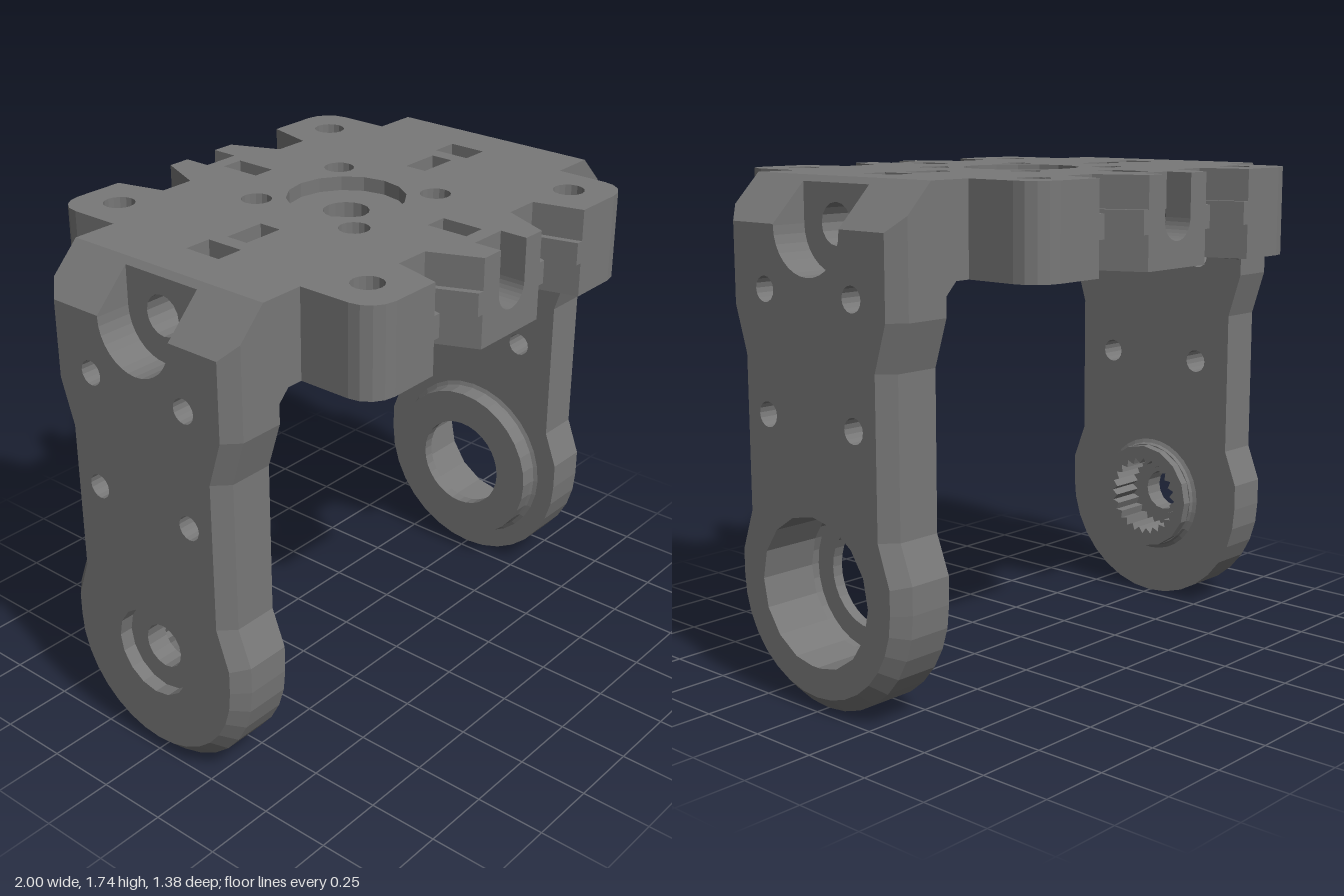
import * as THREE from 'three';

const TOP = 1.74, BASE = 1.43, AXIS = 0.405, SCREW_Y = 1.59;

export function createModel() {
  const grey = new THREE.MeshStandardMaterial({ color: 0x787878 });
  const model = new THREE.Group();

  const add = (parent, geometry, name) => {
    const mesh = new THREE.Mesh(geometry, grey);
    mesh.name = name;
    parent.add(mesh);
    return mesh;
  };
  const poly = (pts) => new THREE.Shape(pts.map(([x, y]) => new THREE.Vector2(x, y)));
  const circle = (x, y, r) => new THREE.Path().absarc(x, y, r, 0, Math.PI * 2, false);
  // extrude a profile from depth a to depth b
  const slab = (shape, a, b) =>
    new THREE.ExtrudeGeometry(shape, { depth: b - a, bevelEnabled: false, curveSegments: 8 }).translate(0, 0, a);
  // toothed hole for the drive shaft
  const spline = () => {
    const pts = [];
    for (let i = 0; i < 48; i++) {
      const a = (i / 48) * Math.PI * 2, r = i % 2 ? 0.133 : 0.156;
      pts.push(new THREE.Vector2(Math.cos(a) * r, AXIS + Math.sin(a) * r));
    }
    return new THREE.Path(pts);
  };

  // ---- top plate, in layers ----
  const plate = new THREE.Group();
  plate.name = 'topPlate';
  model.add(plate);

  // outline of one quadrant; grow widens the dovetail notch
  const quadrant = (start, grow) => {
    const pts = [[start, 0.1], [0.79, 0.1], [0.79, 0.405], [0.69, 0.405]];
    for (let i = 0; i <= 4; i++) {
      const a = (i / 4) * Math.PI / 2;
      pts.push([0.59 + 0.1 * Math.cos(a), 0.59 + 0.1 * Math.sin(a)]);
    }
    pts.push([0.38 + grow, 0.69], [0.335 + grow, 0.515], [0.255 - grow, 0.515],
      [0.18 - grow, 0.69], [0.1, 0.69], [0.1, start]);
    return pts;
  };
  const flip = (pts, sx, sy) => {
    const out = pts.map(([x, y]) => [x * sx, y * sy]);
    return sx * sy < 0 ? out.reverse() : out;
  };
  const signs = [[1, 1], [-1, 1], [-1, -1], [1, -1]];
  const layer = (a, b, grow, centre) => {
    const make = (pts, corners) => {
      const s = poly(pts);
      for (const [sx, sy] of corners) {
        s.holes.push(circle(sx * 0.54, sy * 0.54, 0.055), circle(sx * 0.215, sy * 0.215, 0.053));
      }
      if (centre) s.holes.push(circle(0, 0, centre));
      add(plate, slab(s, a, b).rotateX(-Math.PI / 2), 'plateLayer');
    };
    if (centre) make(signs.flatMap(([sx, sy]) => flip(quadrant(0.38, grow), sx, sy)), signs);
    else for (const [sx, sy] of signs) make(flip(quadrant(0.22, grow), sx, sy), [[sx, sy]]);
  };
  layer(BASE, 1.55, 0.025, 0);       // underside, open cross between the corners
  layer(1.55, 1.57, 0, 0);
  layer(1.57, 1.63, 0, 0.08);        // rib in the notches
  layer(1.63, 1.69, 0.025, 0.08);
  layer(1.69, TOP, 0.025, 0.205);    // shallow round recess

  // ---- screw channels on the four sides ----
  const wall = () => {
    const s = poly([[-0.1, BASE], [0.1, BASE], [0.1, TOP], [-0.1, TOP]]);
    s.holes.push(circle(0, SCREW_Y, 0.07));
    return s;
  };
  const uSlot = poly([[-0.1, TOP], [-0.1, BASE], [0.1, BASE], [0.1, TOP], [0.07, TOP], [0.07, SCREW_Y]]);
  uSlot.absarc(0, SCREW_Y, 0.07, 0, Math.PI, true);
  uSlot.lineTo(-0.07, TOP);
  const bite = Math.acos(0.042 / 0.07);
  const nutSide = poly([[0.042, BASE], [0.1, BASE], [0.1, TOP], [0.042, TOP]]);
  nutSide.absarc(0, SCREW_Y, 0.07, bite, -bite, true);
  for (let i = 0; i < 4; i++) {
    const channel = new THREE.Group();
    channel.name = 'screwChannel';
    channel.rotation.y = i * Math.PI / 2;
    plate.add(channel);
    add(channel, slab(nutSide, 0.38, 0.535), 'nutPocketSide');
    // same side turned half round about the pocket's middle
    add(channel, slab(nutSide, -0.535, -0.38).rotateY(Math.PI), 'nutPocketSide');
    add(channel, slab(wall(), 0.535, 0.59), 'screwWall');
    add(channel, slab(uSlot, 0.59, 0.69), 'screwSlot');
    if (i % 2) add(channel, slab(wall(), 0.69, 0.79), 'screwWall');
  }

  // ---- legs, built along +z then turned to the side ----
  const legShape = (notched, bore) => {
    const s = new THREE.Shape();
    s.moveTo(-0.405, TOP);
    s.lineTo(-0.405, 1.32);
    s.lineTo(-0.355, 1.16);
    s.lineTo(-0.355, 0.63);
    s.lineTo(-0.405, 0.5);
    s.absarc(0, AXIS, 0.405, Math.PI, Math.PI * 2, false);
    s.lineTo(0.405, 0.5);
    s.lineTo(0.355, 0.63);
    s.lineTo(0.355, 1.16);
    s.lineTo(0.405, 1.32);
    s.lineTo(0.405, TOP);
    if (notched) {
      s.lineTo(0.155, TOP);
      s.lineTo(0.155, 1.585);
      s.absarc(0, 1.585, 0.155, 0, Math.PI, true);
      s.lineTo(-0.155, TOP);
    } else s.holes.push(circle(0, SCREW_Y, 0.07));
    for (const u of [-0.205, 0.205]) for (const v of [0.97, 1.38]) s.holes.push(circle(u, v, 0.043));
    s.holes.push(bore === 'spline' ? spline() : circle(0, AXIS, bore));
    return s;
  };
  // slope the top, and bevel the rim of the outer face
  const shapeLeg = (g) => {
    const p = g.attributes.position;
    for (let i = 0; i < p.count; i++) {
      let u = p.getX(i), v = Math.min(p.getY(i), 2.59 - p.getZ(i));
      if (p.getZ(i) > 0.99) {
        if (v < 0.55 && Math.hypot(u, v - AXIS) > 0.3) {
          u *= 0.355 / 0.405;
          v = AXIS + (v - AXIS) * 0.355 / 0.405;
        } else if (Math.abs(u) > 0.3) u -= Math.sign(u) * 0.05;
      }
      p.setXY(i, u, v);
    }
    g.computeVertexNormals();
    return g;
  };
  // turned ring around the pivot: profile of [radius, depth]
  const ring = (profile) => {
    const g = new THREE.LatheGeometry(profile.map(([r, d]) => new THREE.Vector2(r, d)), 32).toNonIndexed();
    g.computeVertexNormals();
    return g.rotateX(Math.PI / 2).translate(0, AXIS, 0);
  };
  const depths = [0.79, 0.85, 0.87, 0.95, 1];
  const buildLeg = (name, side, bores) => {
    const leg = new THREE.Group();
    leg.name = name;
    leg.rotation.y = side * Math.PI / 2;
    model.add(leg);
    for (let i = 0; i < 4; i++) {
      add(leg, shapeLeg(slab(legShape(i > 1, bores[i]), depths[i], depths[i + 1])), 'legLayer');
    }
    // small gusset under the plate
    const gusset = slab(poly([[-0.79, 1.38], [-0.74, BASE], [-0.79, BASE]].reverse()), -0.4, 0.4);
    add(leg, gusset.rotateY(Math.PI / 2), 'gusset');
    return leg;
  };

  const left = buildLeg('leftLeg', 1, [0.255, 0.255, 0.255, 0.255]);
  add(left, ring([[0.18, 0.72], [0.31, 0.72], [0.31, 0.77], [0.315, 0.783], [0.33, 0.79],
    [0.255, 0.79], [0.255, 0.76], [0.18, 0.76], [0.18, 0.72]]), 'bearingBoss');

  const right = buildLeg('rightLeg', -1, ['spline', 'spline', 0.08, 0.16]);
  const boss = new THREE.Shape().absarc(0, AXIS, 0.205, 0, Math.PI * 2, false);
  boss.holes.push(spline());
  add(right, slab(boss, 0.735, 0.79), 'splineBoss');
  add(right, ring([[0.2, 0.77], [0.206, 0.77], [0.211, 0.783], [0.225, 0.79], [0.2, 0.79]]), 'bossFillet');

  return model;
}
